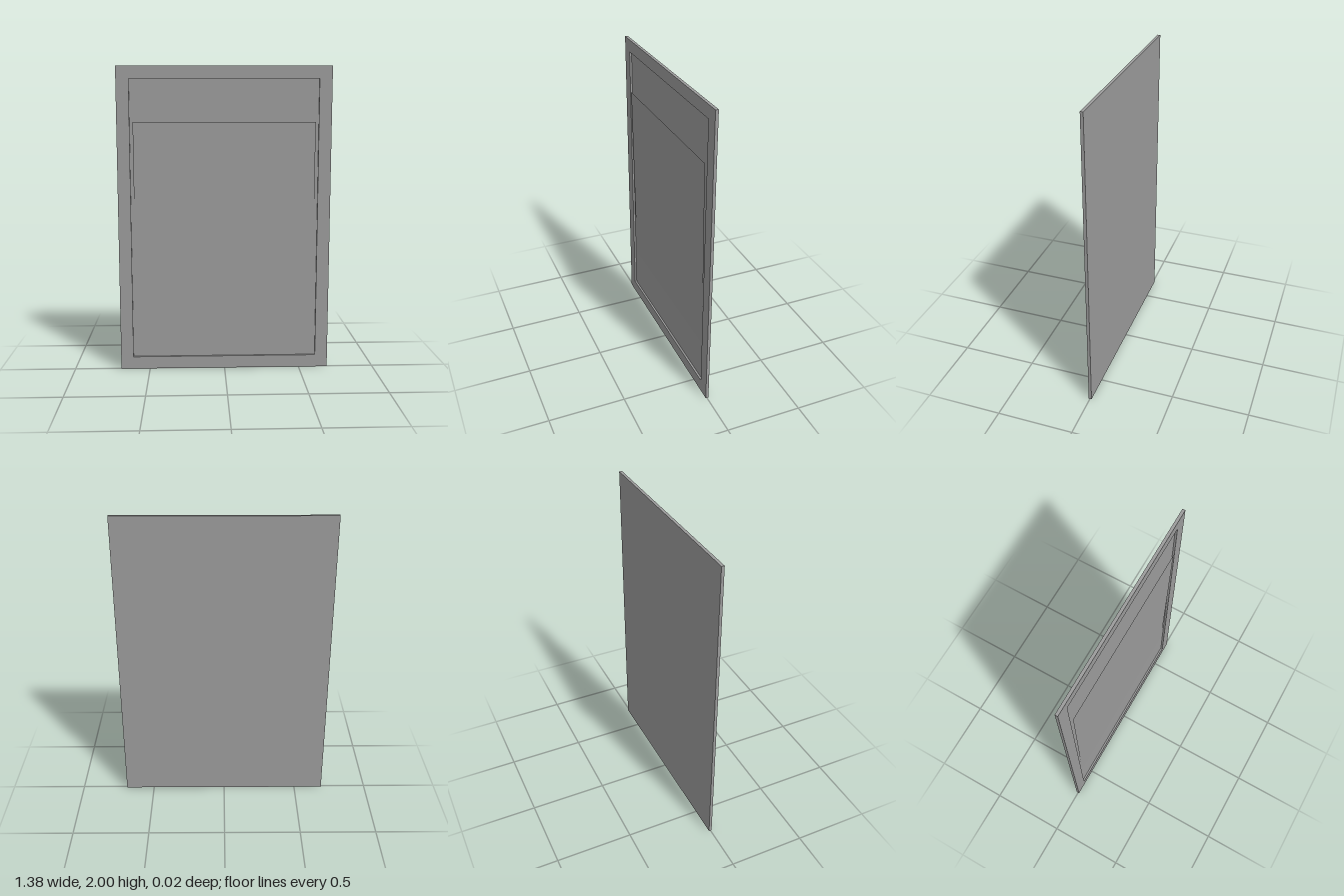
import * as THREE from 'three';

const W = 1.385, H = 2, BACK = -0.011, FRONT = 0.008, PANEL = -0.005;

export function createModel() {
  const model = new THREE.Group();
  const material = new THREE.MeshStandardMaterial({ color: 0x9c9c9c, flatShading: true, side: THREE.DoubleSide });
  const add = (name, geometry) => {
    const mesh = new THREE.Mesh(geometry, material);
    mesh.name = name;
    model.add(mesh);
    return mesh;
  };

  // Flat border with a rectangular opening
  const rectangle = (Type, x, y0, y1) => new Type([[-x, y0], [x, y0], [x, y1], [-x, y1]]
    .map(([px, py]) => new THREE.Vector2(px, py)));
  const outline = rectangle(THREE.Shape, W / 2, 0, H);
  outline.holes.push(rectangle(THREE.Path, 0.61, 0.082, 1.918));
  const border = new THREE.ExtrudeGeometry(outline, { depth: FRONT - BACK, bevelEnabled: false });
  add('frameBorder', border.translate(0, 0, BACK));

  // Recessed panel closing the back of the opening
  const panel = new THREE.BoxGeometry(1.22, 1.836, PANEL - BACK);
  add('recessedPanel', panel.translate(0, 1, (PANEL + BACK) / 2));

  // Thin sheet leaning forward at the top and sinking into the panel
  const top = 1.645, bottom = 0.3, meet = 0.37;
  const lean = Math.atan2(0.011 - PANEL, top - meet);
  const sheet = new THREE.PlaneGeometry(1.177, top - bottom);
  sheet.translate(0, (top + bottom) / 2 - meet, 0).rotateX(lean);
  add('leaningSheet', sheet.translate(0, meet, PANEL));

  return model;
}
